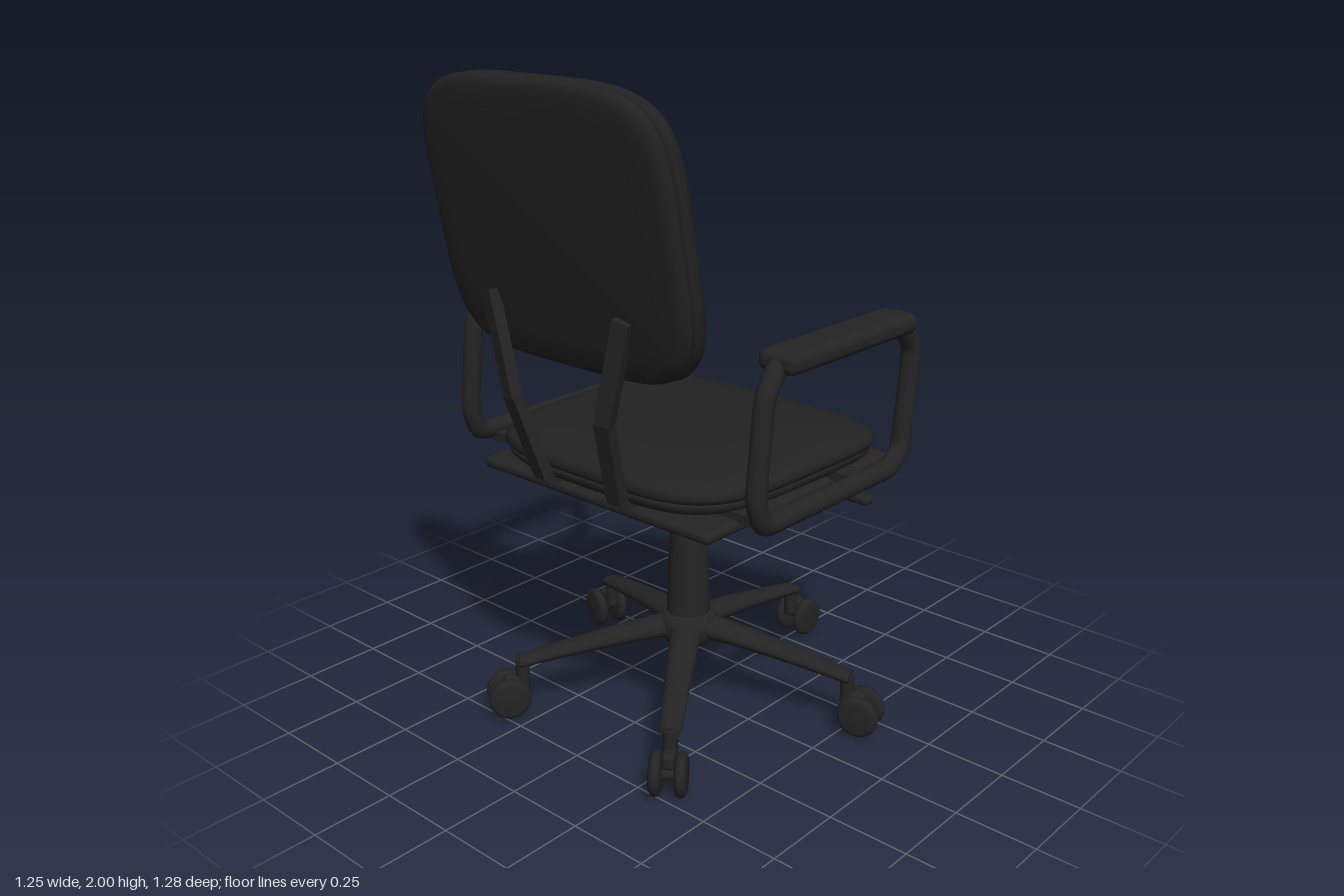
import * as THREE from 'three';
import { RoundedBoxGeometry } from 'three/addons/geometries/RoundedBoxGeometry.js';

const fabric = new THREE.MeshStandardMaterial({ name: 'blackFabric', color: 0x222222 });
const plastic = new THREE.MeshStandardMaterial({ name: 'blackPlastic', color: 0x242424 });
const steel = new THREE.MeshStandardMaterial({ name: 'greySteel', color: 0x858585 });
const V = (x, y, z) => new THREE.Vector3(x, y, z);

function add(parent, name, geometry, material, x = 0, y = 0, z = 0) {
  const mesh = new THREE.Mesh(geometry, material);
  mesh.name = name;
  mesh.position.set(x, y, z);
  parent.add(mesh);
  return mesh;
}

// Pad lofted through superellipse rings; profile rows are [scale, depth].
function padGeometry(halfU, halfV, power, profile, place) {
  const n = 72, positions = [], index = [];
  const bulge = (c) => Math.sign(c) * Math.abs(c) ** (2 / power);
  profile.forEach(([s, w]) => {
    for (let j = 0; j < n; j++) {
      const a = (j / n) * Math.PI * 2;
      positions.push(...place(halfU * s * bulge(Math.cos(a)), halfV * s * bulge(Math.sin(a)), w));
    }
  });
  for (let i = 0; i < profile.length - 1; i++) {
    for (let j = 0; j < n; j++) {
      const k = (j + 1) % n, a = i * n + j, b = i * n + k;
      index.push(a, b, b + n, a, b + n, a + n);
    }
  }
  const g = new THREE.BufferGeometry();
  g.setAttribute('position', new THREE.Float32BufferAttribute(positions, 3));
  g.setIndex(index);
  g.computeVertexNormals();
  return g;
}

// Tube along straight runs with rounded bends.
function bentTube(points, radius, bend) {
  const path = new THREE.CurvePath();
  let from = points[0];
  for (let i = 1; i < points.length - 1; i++) {
    const p = points[i];
    const a = p.clone().add(points[i - 1].clone().sub(p).setLength(bend));
    const b = p.clone().add(points[i + 1].clone().sub(p).setLength(bend));
    path.add(new THREE.LineCurve3(from, a));
    path.add(new THREE.QuadraticBezierCurve3(a, p, b));
    from = b;
  }
  path.add(new THREE.LineCurve3(from, points[points.length - 1]));
  return new THREE.TubeGeometry(path, 120, radius, 14);
}

// Flat bar between two points.
function bar(parent, name, a, b, width, thickness) {
  const mesh = add(parent, name, new THREE.BoxGeometry(width, thickness, a.distanceTo(b) + 0.012), plastic);
  mesh.position.copy(a).lerp(b, 0.5);
  mesh.up.set(0, 1, -1);
  mesh.lookAt(b);
}

function lathe(points) {
  return new THREE.LatheGeometry(points.map(([r, y]) => new THREE.Vector2(r, y)), 32);
}

// Tapered, drooping leg running out along +z.
function legGeometry() {
  const g = new THREE.CylinderGeometry(1, 1, 1, 16, 12);
  g.rotateX(Math.PI / 2);
  const p = g.attributes.position;
  for (let i = 0; i < p.count; i++) {
    const t = p.getZ(i) + 0.5;
    const width = THREE.MathUtils.lerp(0.05, 0.032, t);
    const height = THREE.MathUtils.lerp(0.036, 0.018, t);
    p.setXYZ(i, p.getX(i) * width, 0.252 - 0.077 * t ** 1.3 + p.getY(i) * height, 0.05 + 0.49 * t);
  }
  g.computeVertexNormals();
  return g;
}

function buildBase(chair) {
  const base = new THREE.Group();
  base.name = 'base';
  chair.add(base);
  add(base, 'hub', lathe([[0, 0.2], [0.075, 0.2], [0.095, 0.23], [0.095, 0.27], [0.075, 0.3], [0, 0.3]]), plastic);
  add(base, 'columnSleeve', lathe([[0, 0.25], [0.069, 0.25], [0.069, 0.3], [0.057, 0.62], [0.061, 0.625], [0.061, 0.645], [0, 0.648]]), plastic);
  add(base, 'gasLift', new THREE.CylinderGeometry(0.045, 0.045, 0.14, 28), steel, 0, 0.7, 0);

  const leg = legGeometry();
  const wheel = lathe([[0, -0.019], [0.026, -0.019], [0.028, -0.016], [0.05, -0.018], [0.062, -0.011],
    [0.066, 0], [0.062, 0.011], [0.05, 0.018], [0.028, 0.016], [0.026, 0.019], [0, 0.019]]).rotateZ(Math.PI / 2);
  for (let i = 0; i < 5; i++) {
    const arm = new THREE.Group();
    arm.name = 'legWithCaster';
    arm.rotation.y = Math.PI + (i * Math.PI * 2) / 5;
    base.add(arm);
    add(arm, 'leg', leg, plastic);
    add(arm, 'casterStem', new THREE.CylinderGeometry(0.022, 0.022, 0.09, 16), plastic, 0, 0.138, 0.53);
    add(arm, 'casterNeck', new RoundedBoxGeometry(0.04, 0.05, 0.08, 3, 0.015), plastic, 0, 0.105, 0.55);
    add(arm, 'casterAxle', new THREE.CylinderGeometry(0.018, 0.018, 0.09, 14).rotateZ(Math.PI / 2), plastic, 0, 0.066, 0.575);
    for (const s of [-1, 1]) add(arm, 'casterWheel', wheel, plastic, s * 0.037, 0.066, 0.575);
  }
}

function buildSeat(chair) {
  // Front lip (toward -z) droops slightly.
  const place = (u, v, w) => {
    const z = -v;
    const droop = 0.03 * Math.max(0, (-z - 0.15) / 0.31) ** 2;
    return [u * (1 - 0.05 * z), w - droop, z];
  };
  add(chair, 'seatShell', padGeometry(0.465, 0.45, 4,
    [[0, 0.83], [0.88, 0.83], [0.97, 0.84], [1, 0.855], [1, 0.872], [0.96, 0.88], [0, 0.88]], place), plastic);
  add(chair, 'seatCushion', padGeometry(0.48, 0.46, 4,
    [[0, 0.87], [0.95, 0.87], [0.985, 0.876], [1, 0.892], [0.985, 0.91], [0.93, 0.925], [0.8, 0.934], [0.5, 0.937], [0, 0.937]], place), fabric);

  add(chair, 'seatPan', new RoundedBoxGeometry(0.9, 0.034, 0.85, 3, 0.015), plastic, 0, 0.804, 0.005);
  for (const s of [-1, 1]) {
    add(chair, 'panRib', new THREE.BoxGeometry(0.02, 0.012, 0.6), plastic, s * 0.29, 0.784, 0);
  }
}

function buildMechanism(chair) {
  const mech = new THREE.Group();
  mech.name = 'tiltMechanism';
  chair.add(mech);
  add(mech, 'mechanismBox', new THREE.BoxGeometry(0.27, 0.065, 0.3), steel, 0, 0.755, 0.02);

  // Side cheeks with a sloped rear end.
  const cheek = new THREE.Shape([[-0.15, 0.735], [-0.13, 0.722], [0.22, 0.722], [0.24, 0.735], [0.34, 0.79], [-0.15, 0.79]]
    .map(([z, y]) => new THREE.Vector2(-z, y)));
  for (const s of [-1, 1]) {
    add(mech, 'sideCheek', new THREE.ExtrudeGeometry(cheek, { depth: 0.03, bevelEnabled: false }).rotateY(Math.PI / 2),
      plastic, s * 0.15 - 0.015, 0, 0);
  }
  add(mech, 'tensionKnob', new THREE.CylinderGeometry(0.06, 0.054, 0.04, 10), plastic, 0, 0.696, -0.165);
  add(mech, 'tensionScrew', new THREE.CylinderGeometry(0.02, 0.02, 0.09, 12), plastic, 0, 0.745, -0.165);
  add(mech, 'leverRod', bentTube([V(0.1, 0.768, -0.18), V(0.2, 0.758, -0.21), V(0.34, 0.724, -0.255), V(0.42, 0.724, -0.255)], 0.011, 0.03), plastic);
  add(mech, 'leverPaddle', new RoundedBoxGeometry(0.1, 0.03, 0.045, 3, 0.013), plastic, 0.45, 0.724, -0.255);
}

function buildBackrest(chair) {
  const place = (u, v, w) => [u, 1.6 + v, 0.505 + 0.19 * v + w];
  add(chair, 'backrestCushion', padGeometry(0.458, 0.4, 4.4,
    [[0, -0.076], [0.5, -0.075], [0.8, -0.068], [0.92, -0.055], [0.98, -0.035], [1, -0.012], [0.99, 0.008], [0.96, 0.014], [0, 0.014]], place), fabric);
  add(chair, 'backrestShell', padGeometry(0.458, 0.4, 4.4,
    [[0, 0.005], [0.95, 0.005], [0.985, 0.014], [0.995, 0.03], [0.975, 0.048], [0.92, 0.06], [0.75, 0.068], [0, 0.07]], place), fabric);

  // Twin support bars, from the backrest down and under the seat.
  for (const s of [-1, 1]) {
    const pts = [V(s * 0.255, 1.39, 0.538), V(s * 0.18, 1.1, 0.538), V(s * 0.148, 0.85, 0.462), V(s * 0.146, 0.8, 0.38), V(s * 0.145, 0.778, 0.15)];
    for (let i = 0; i < pts.length - 1; i++) bar(chair, 'backSupportBar', pts[i], pts[i + 1], 0.05, 0.034);
  }
}

function buildArms(chair) {
  const loop = [[0, 0.85], [0.345, 0.85], [0.375, 0.93], [0.345, 1.21], [0.295, 1.285], [-0.27, 1.285],
    [-0.33, 1.2], [-0.295, 0.9], [-0.24, 0.85], [0, 0.85]];
  for (const s of [-1, 1]) {
    const arm = new THREE.Group();
    arm.name = s > 0 ? 'leftArmrest' : 'rightArmrest';
    chair.add(arm);
    add(arm, 'armLoop', bentTube(loop.map(([z, y]) => V(s * 0.567, y, z)), 0.029, 0.03), plastic);
    add(arm, 'armPad', new RoundedBoxGeometry(0.126, 0.06, 0.58, 4, 0.025), plastic, s * 0.564, 1.292, 0.015);
    // Flat brackets tie the loop to the seat pan.
    add(arm, 'rearBracket', new THREE.BoxGeometry(0.2, 0.028, 0.14), plastic, s * 0.46, 0.829, 0.23);
    add(arm, 'frontBracket', new THREE.BoxGeometry(0.2, 0.028, 0.08), plastic, s * 0.46, 0.829, -0.165);
  }
}

export function createModel() {
  const chair = new THREE.Group();
  chair.name = 'officeChair';
  buildBase(chair);
  buildMechanism(chair);
  buildSeat(chair);
  buildBackrest(chair);
  buildArms(chair);
  return chair;
}
